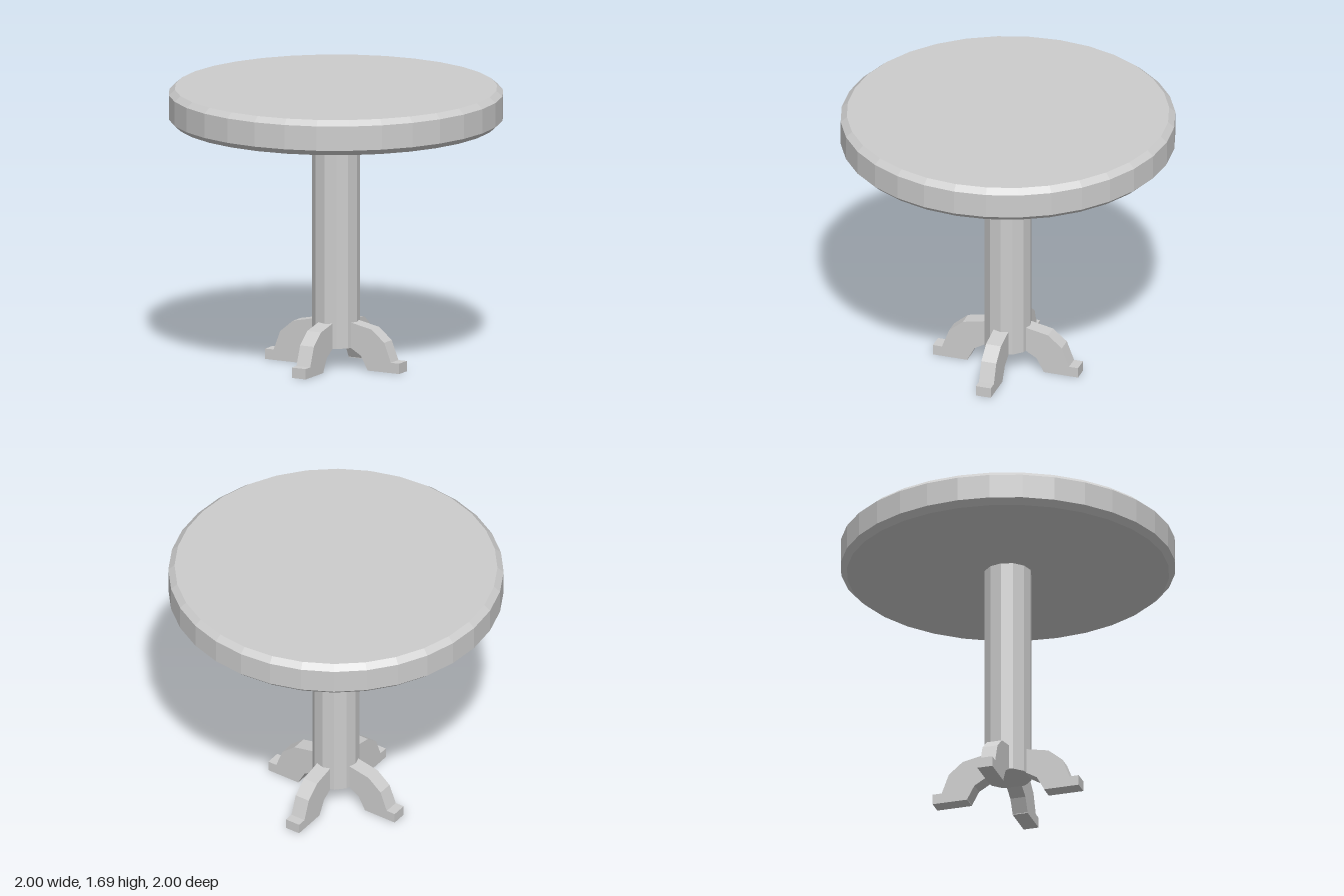
import * as THREE from 'three';

export function createModel() {
  const group = new THREE.Group();
  const grey = new THREE.MeshStandardMaterial({ color: 0xcccccc });
  grey.name = 'light grey';
  grey.flatShading = true;

  const add = (name, geometry) => {
    const mesh = new THREE.Mesh(geometry, grey);
    mesh.name = name;
    group.add(mesh);
    return mesh;
  };

  // Round top with bevelled rims
  const rim = [[0, 1.478], [0.963, 1.478], [1, 1.512], [1, 1.66], [0.963, 1.692], [0, 1.692]];
  add('tableTop', new THREE.LatheGeometry(rim.map(([x, y]) => new THREE.Vector2(x, y)), 32));

  // Twelve-sided column
  const bottom = 0.127, top = 1.48;
  add('column', new THREE.CylinderGeometry(0.142, 0.142, top - bottom, 12))
    .position.y = (top + bottom) / 2;

  // Four curved feet, cut from one side profile
  const width = 0.094;
  const profile = [
    [0.12, 0.13], [0.195, 0.086], [0.24, 0.004], [0.24, 0], [0.457, 0], [0.457, 0.063],
    [0.4, 0.063], [0.355, 0.18], [0.268, 0.252], [0.13, 0.28], [0.12, 0.28],
  ];
  const footGeometry = new THREE.ExtrudeGeometry(
    new THREE.Shape(profile.map(([x, y]) => new THREE.Vector2(x, y))),
    { depth: width, bevelEnabled: false },
  ).translate(0, 0, -width / 2);
  ['leftFoot', 'backFoot', 'rightFoot', 'frontFoot'].forEach((name, i) => {
    add(name, footGeometry).rotation.y = (i * Math.PI) / 2;
  });

  return group;
}
